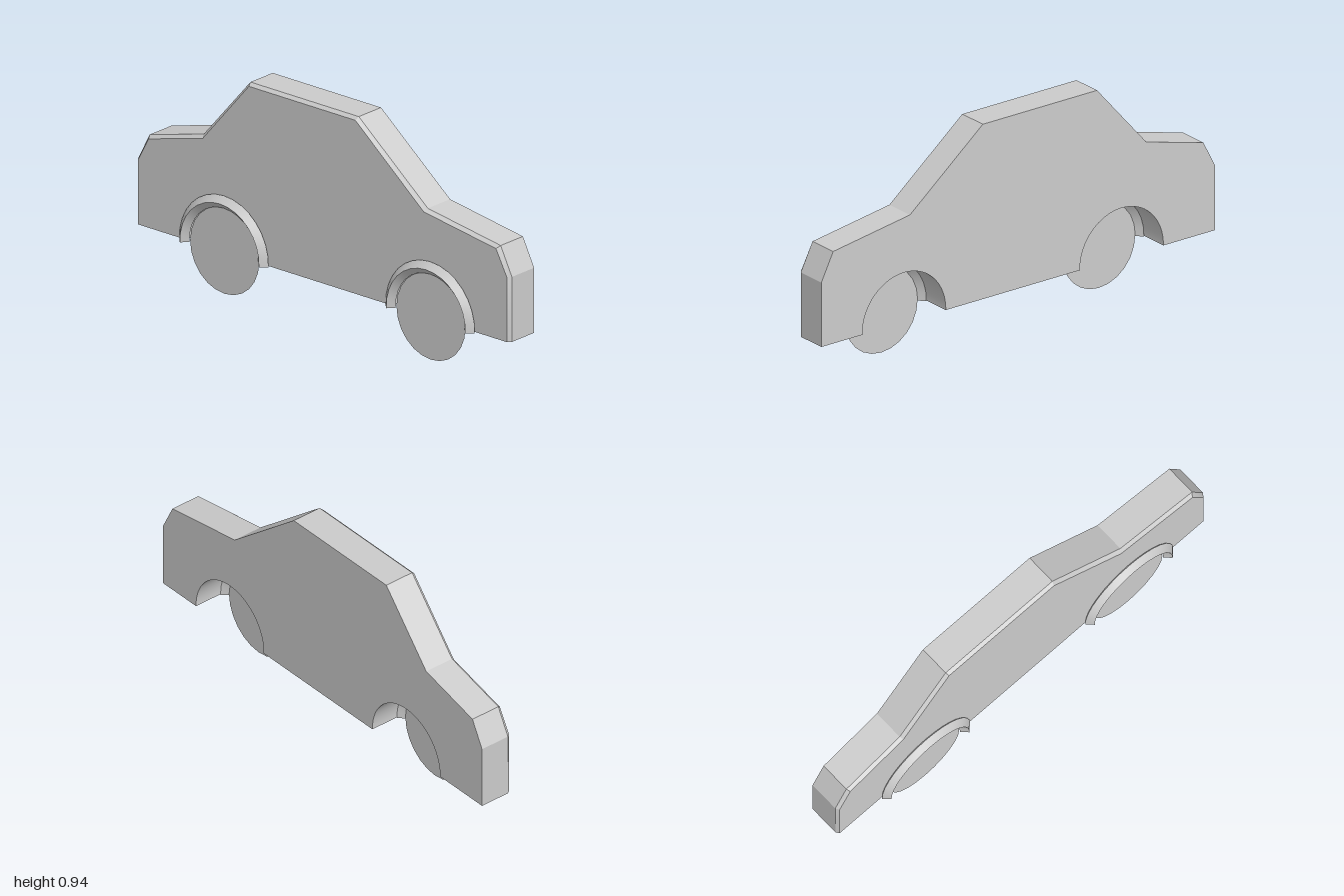
import * as THREE from 'three';
import { toCreasedNormals } from 'three/addons/utils/BufferGeometryUtils.js';

const SILL = 0.18, BACK = -0.09, BEVEL = 0.045, FACE = 0.06;
const WHEEL_X = [-0.525, 0.58], WHEEL_Y = 0.185, WHEEL_R = 0.185;
const ARCH_R = 0.212, TRIM_R = 0.027;

// Each corner of the silhouette: outer point, then its inset point on the front face
const CORNERS = [
  [1, 0.18, 0.988, 0.18], [1, 0.46, 0.988, 0.456], [0.94, 0.58, 0.928, 0.568],
  [0.55, 0.64, 0.541, 0.627], [0.18, 0.94, 0.175, 0.927], [-0.4, 0.94, -0.395, 0.927],
  [-0.65, 0.652, -0.643, 0.639], [-0.94, 0.575, -0.932, 0.563],
  [-1, 0.46, -0.99, 0.457], [-1, 0.18, -0.99, 0.18],
];

function bodyGeometry() {
  const shape = new THREE.Shape();
  CORNERS.forEach(([x, y], i) => (i ? shape.lineTo(x, y) : shape.moveTo(x, y)));
  // Wheel arches cut into the sill
  for (const x of WHEEL_X) {
    shape.lineTo(x - ARCH_R, SILL);
    shape.absarc(x, WHEEL_Y, ARCH_R, Math.PI, 0, true);
    shape.lineTo(x + ARCH_R, SILL);
  }
  const geo = new THREE.ExtrudeGeometry(shape, { depth: 1, steps: 2, bevelEnabled: false, curveSegments: 16 });
  // Two layers: a straight slab, then a chamfer towards the front face
  const p = geo.attributes.position;
  for (let i = 0; i < p.count; i++) {
    const x = p.getX(i), y = p.getY(i), layer = p.getZ(i);
    const corner = CORNERS.find(c => Math.hypot(c[0] - x, c[1] - y) < 1e-4);
    if (layer > 0.9 && corner) p.setXY(i, corner[2], corner[3]);
    p.setZ(i, layer < 0.1 ? BACK : layer < 0.9 ? BEVEL : FACE);
  }
  return toCreasedNormals(geo, 0.4);
}

export function createModel() {
  const model = new THREE.Group();
  const grey = new THREE.MeshStandardMaterial({ color: 0xcccccc, side: THREE.DoubleSide });
  const add = (parent, name, geo) => {
    const mesh = new THREE.Mesh(geo, grey);
    mesh.name = name;
    parent.add(mesh);
    return mesh;
  };

  add(model, 'body', bodyGeometry());

  // Diamond-section trim around each arch, running slightly past the half circle
  const extra = 0.04, sweep = Math.PI + 2 * extra;
  const trim = toCreasedNormals(new THREE.TorusGeometry(ARCH_R, TRIM_R, 4, 16, sweep), 0.5);
  const cap = new THREE.CircleGeometry(TRIM_R, 4).rotateX(Math.PI / 2).translate(ARCH_R, 0, 0);
  const disc = new THREE.CircleGeometry(WHEEL_R, 24);

  WHEEL_X.forEach((x, i) => {
    const end = i ? 'left' : 'right';
    const wheel = add(model, end + 'Wheel', disc);
    wheel.position.set(x, WHEEL_Y, FACE);

    const arch = new THREE.Group();
    arch.name = end + 'ArchTrim';
    arch.position.set(x, WHEEL_Y, FACE + 0.005);
    arch.rotation.z = -extra;
    add(arch, 'trim', trim);
    add(arch, 'trimEnd', cap);
    add(arch, 'trimEnd', cap).rotation.z = sweep;
    model.add(arch);
  });

  return model;
}
